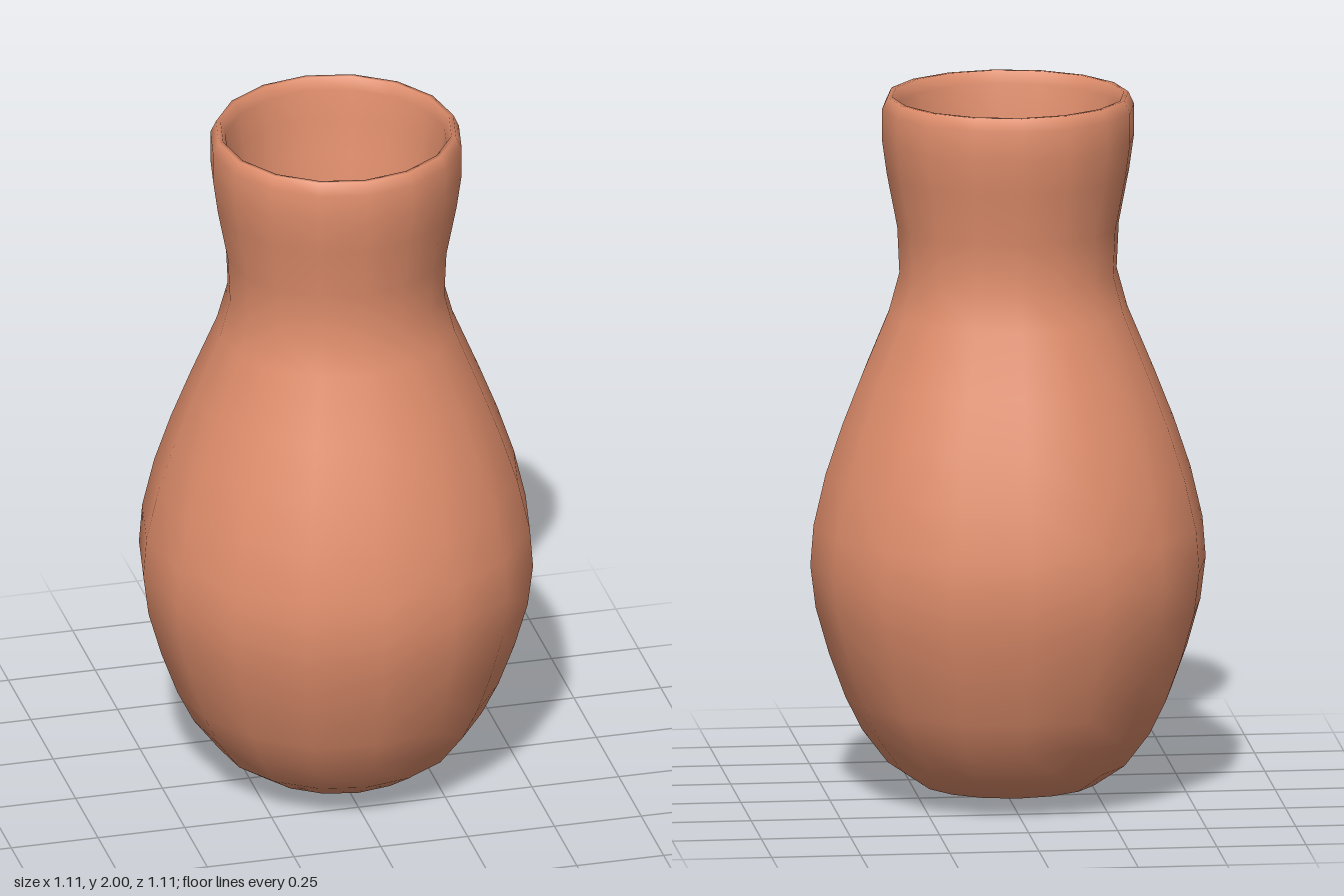
import * as THREE from 'three';

// Outer wall, from the base point up to the rim: [radius, height]
const outer = [
  [0, 0], [0.25, 0.045], [0.338, 0.105], [0.41, 0.2], [0.457, 0.295], [0.503, 0.42],
  [0.54, 0.55], [0.555, 0.67], [0.546, 0.785], [0.512, 0.93], [0.465, 1.07],
  [0.41, 1.21], [0.335, 1.39], [0.305, 1.5], [0.311, 1.63], [0.34, 1.78],
  [0.354, 1.88], [0.354, 1.965],
];

// Rounded lip, then the inner wall back down to the floor
const lip = [[0.338, 2], [0.325, 2], [0.312, 1.965]];
const inner = [
  [0.3, 1.88], [0.283, 1.78], [0.252, 1.63], [0.246, 1.5], [0.278, 1.39], [0.352, 1.21],
  [0.406, 1.07], [0.453, 0.93], [0.487, 0.785], [0.495, 0.67], [0.481, 0.55],
  [0.445, 0.42], [0.402, 0.31], [0.358, 0.23], [0.295, 0.155], [0.225, 0.105], [0, 0.065],
];

export function createModel() {
  const group = new THREE.Group();
  group.name = 'vase';

  const profile = [...outer, ...lip, ...inner].map(([r, y]) => new THREE.Vector2(r, y));
  const body = new THREE.Mesh(
    new THREE.LatheGeometry(profile, 16),
    new THREE.MeshStandardMaterial({ color: 0xe08e6c })
  );
  body.name = 'vaseBody';
  group.add(body);
  return group;
}
